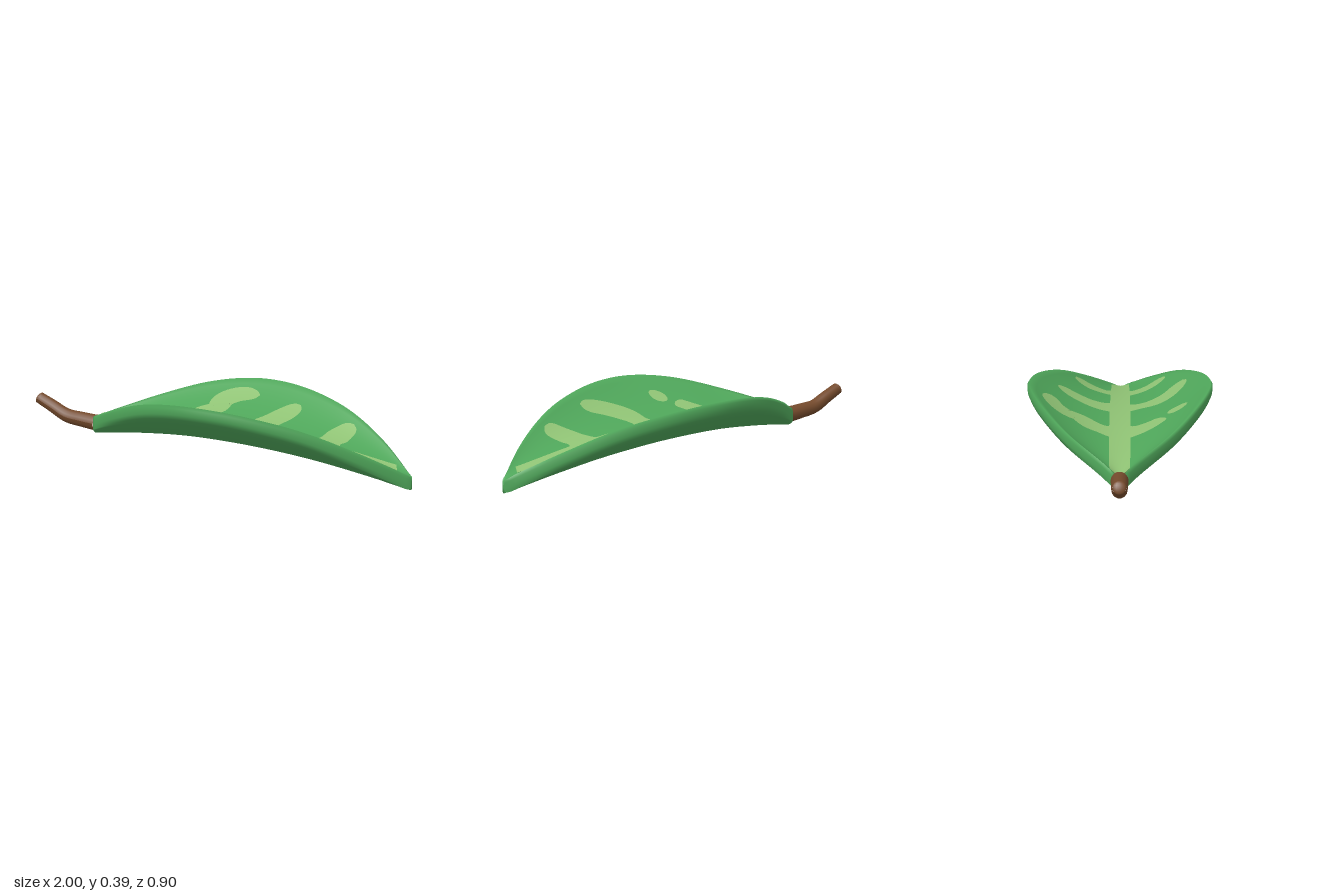
import * as THREE from 'three';

// Smooth function of x through a few [x, value] pairs
function profile(pairs) {
  const c = new THREE.CubicInterpolant(pairs.map(p => p[0]), pairs.map(p => p[1]), 1, [0]);
  return x => c.evaluate(x)[0];
}

const X0 = -0.65, X1 = 1;
const halfWidth = profile([[-0.65, 0.035], [-0.6, 0.075], [-0.4, 0.25], [-0.2, 0.37], [0, 0.438], [0.12, 0.449],
  [0.3, 0.422], [0.5, 0.352], [0.7, 0.247], [0.85, 0.142], [1, 0.01]]);
const keelY = profile([[-0.65, 0.125], [-0.4, 0.15], [-0.1, 0.162], [0.2, 0.148], [0.5, 0.11], [0.8, 0.05], [1, 0]]);
const rimY = profile([[-0.65, 0.212], [-0.6, 0.232], [-0.4, 0.305], [-0.2, 0.362], [0, 0.386], [0.2, 0.378],
  [0.4, 0.343], [0.6, 0.283], [0.8, 0.187], [0.93, 0.108], [1, 0.06]]);
const innerWidth = x => halfWidth(x) - Math.min(0.009, halfWidth(x) * 0.2);

// Height of the upper face of the blade, a shallow bowl across its width
function topY(x, z) {
  const mid = Math.min(keelY(x) + 0.065, rimY(x) - 0.005);
  return mid + (rimY(x) - mid) * Math.pow(Math.min(1, Math.abs(z) / innerWidth(x)), 2);
}

// Closed cross-section [z, y]: keel, front underside, rim, upper face, back rim, back underside
function section(x) {
  const w = halfWidth(x), k = keelY(x), e = rimY(x), low = Math.max(k + 0.004, e - 0.066);
  const side = [], n = 10, m = 26;
  for (let i = 1; i <= n; i++) {
    const t = i / n;
    side.push([w * 0.975 * t, k + (low - k) * Math.pow(t, 1.7)]);
  }
  side.push([w * 0.996, low + (e - low) * 0.35], [w, low + (e - low) * 0.8]);
  const pts = [[0, k], ...side];
  for (let i = 0; i <= m; i++) {
    const z = innerWidth(x) * (1 - 2 * i / m);
    pts.push([z, topY(x, z)]);
  }
  side.reverse().forEach(([z, y]) => pts.push([-z, y]));
  return pts;
}

function bladeGeometry() {
  const pos = [], idx = [], steps = 90;
  let n = 0;
  for (let i = 0; i <= steps; i++) {
    const x = X0 + (X1 - X0) * i / steps, ring = section(x);
    n = ring.length;
    ring.forEach(([z, y]) => pos.push(x, y, z));
  }
  for (let i = 0; i < steps; i++) for (let j = 0; j < n; j++) {
    const a = i * n + j, c = i * n + (j + 1) % n;
    idx.push(a, a + n, c, c, a + n, c + n);
  }
  // End caps
  [[X0, 0], [X1, steps * n]].forEach(([x, start], end) => {
    const centre = pos.length / 3;
    pos.push(x, (keelY(x) + topY(x, 0)) / 2, 0);
    for (let j = 0; j < n; j++) {
      const a = start + j, b = start + (j + 1) % n;
      idx.push(centre, end ? b : a, end ? a : b);
    }
  });
  return surface(pos, idx);
}

function surface(pos, idx) {
  const g = new THREE.BufferGeometry();
  g.setAttribute('position', new THREE.Float32BufferAttribute(pos, 3));
  g.setIndex(idx);
  g.computeVertexNormals();
  return g;
}

// Ribbon lying on the upper face; path points are [x, z, half width]
function veinGeometry(path, round, steps = 40, across = 8) {
  const curve = new THREE.CatmullRomCurve3(path.map(([x, z, h]) => new THREE.Vector3(x, h, z)));
  const pos = [], idx = [];
  for (let i = 0; i <= steps; i++) {
    const u = i / steps, p = curve.getPoint(u), t = curve.getTangent(u);
    const len = Math.hypot(t.x, t.z), near = Math.min(1, Math.min(u, 1 - u) / round);
    const h = p.y * Math.sqrt(Math.max(0.0005, 1 - (1 - near) ** 2));
    for (let j = 0; j <= across; j++) {
      const o = h * (2 * j / across - 1);
      const x = p.x + o * t.z / len, lim = innerWidth(x);
      const z = Math.max(-lim, Math.min(lim, p.z - o * t.x / len));
      pos.push(x, topY(x, z) + 0.003, z);
      if (i < steps && j < across) {
        const a = i * (across + 1) + j, b = a + across + 1;
        idx.push(a, b, a + 1, a + 1, b, b + 1);
      }
    }
  }
  return surface(pos, idx);
}

// Tapering bent stalk
function stalkGeometry(curve, r0, r1) {
  const steps = 24, sides = 14;
  const g = new THREE.TubeGeometry(curve, steps, 1, sides, false);
  const p = g.attributes.position, v = new THREE.Vector3();
  for (let i = 0; i <= steps; i++) {
    const c = curve.getPointAt(i / steps), r = r0 + (r1 - r0) * i / steps;
    for (let j = 0; j <= sides; j++) {
      const k = i * (sides + 1) + j;
      v.fromBufferAttribute(p, k).sub(c).multiplyScalar(r).add(c);
      p.setXYZ(k, v.x, v.y, v.z);
    }
  }
  g.computeVertexNormals();
  return g;
}

export function createModel() {
  const model = new THREE.Group();
  model.name = 'leaf';
  const mat = (name, color, side = THREE.FrontSide) => {
    const m = new THREE.MeshStandardMaterial({ color, side });
    m.name = name;
    return m;
  };
  const green = mat('leafGreen', 0x4fa65a);
  const pale = mat('veinGreen', 0x8fc274, THREE.DoubleSide);
  const brown = mat('stalkBrown', 0x744a2c);
  const add = (name, geometry, material) => {
    const mesh = new THREE.Mesh(geometry, material);
    mesh.name = name;
    model.add(mesh);
    return mesh;
  };

  add('blade', bladeGeometry(), green);

  // Midrib and side veins
  add('midrib', veinGeometry([[-0.648, 0, 0.045], [-0.3, 0, 0.05], [0.3, 0, 0.05], [0.93, 0, 0.047]], 0.012, 100), pale);
  const veins = {
    backVeinA: [[-0.18, 0, 0.1], [-0.16, -0.08, 0.055], [-0.13, -0.14, 0.06], [-0.07, -0.2, 0.055], [-0.07, -0.26, 0.06], [0, -0.32, 0.05], [0.1, -0.335, 0.035]],
    backVeinB: [[0.21, 0, 0.11], [0.21, -0.08, 0.075], [0.24, -0.16, 0.06], [0.28, -0.23, 0.055], [0.33, -0.305, 0.035]],
    backVeinC: [[0.57, 0, 0.1], [0.57, -0.08, 0.055], [0.59, -0.14, 0.06], [0.635, -0.23, 0.038]],
    frontVeinA: [[-0.18, 0, 0.1], [-0.17, 0.08, 0.06], [-0.14, 0.14, 0.05], [-0.09, 0.21, 0.04]],
    frontSpot: [[-0.055, 0.23, 0.035], [-0.035, 0.27, 0.038], [-0.01, 0.32, 0.035]],
    frontVeinB: [[0.19, 0, 0.09], [0.2, 0.09, 0.05], [0.22, 0.18, 0.06], [0.28, 0.25, 0.055], [0.4, 0.315, 0.04]],
    frontVeinC: [[0.55, 0, 0.1], [0.56, 0.08, 0.06], [0.59, 0.14, 0.055], [0.65, 0.225, 0.042]],
  };
  for (const [name, path] of Object.entries(veins)) add(name, veinGeometry(path, name === 'frontSpot' ? 0.5 : 0.12), pale);

  // Stalk with a rounded tip
  const curve = new THREE.CatmullRomCurve3([[-0.648, 0.176], [-0.73, 0.186], [-0.82, 0.2], [-0.9, 0.24], [-0.978, 0.278]]
    .map(([x, y]) => new THREE.Vector3(x, y, 0)));
  add('stalk', stalkGeometry(curve, 0.04, 0.03), brown);
  const tip = add('stalkTip', new THREE.SphereGeometry(0.03, 14, 10), brown);
  tip.position.copy(curve.getPoint(1));
  tip.scale.set(0.4, 1, 1);
  tip.rotation.z = -0.5;
  return model;
}
